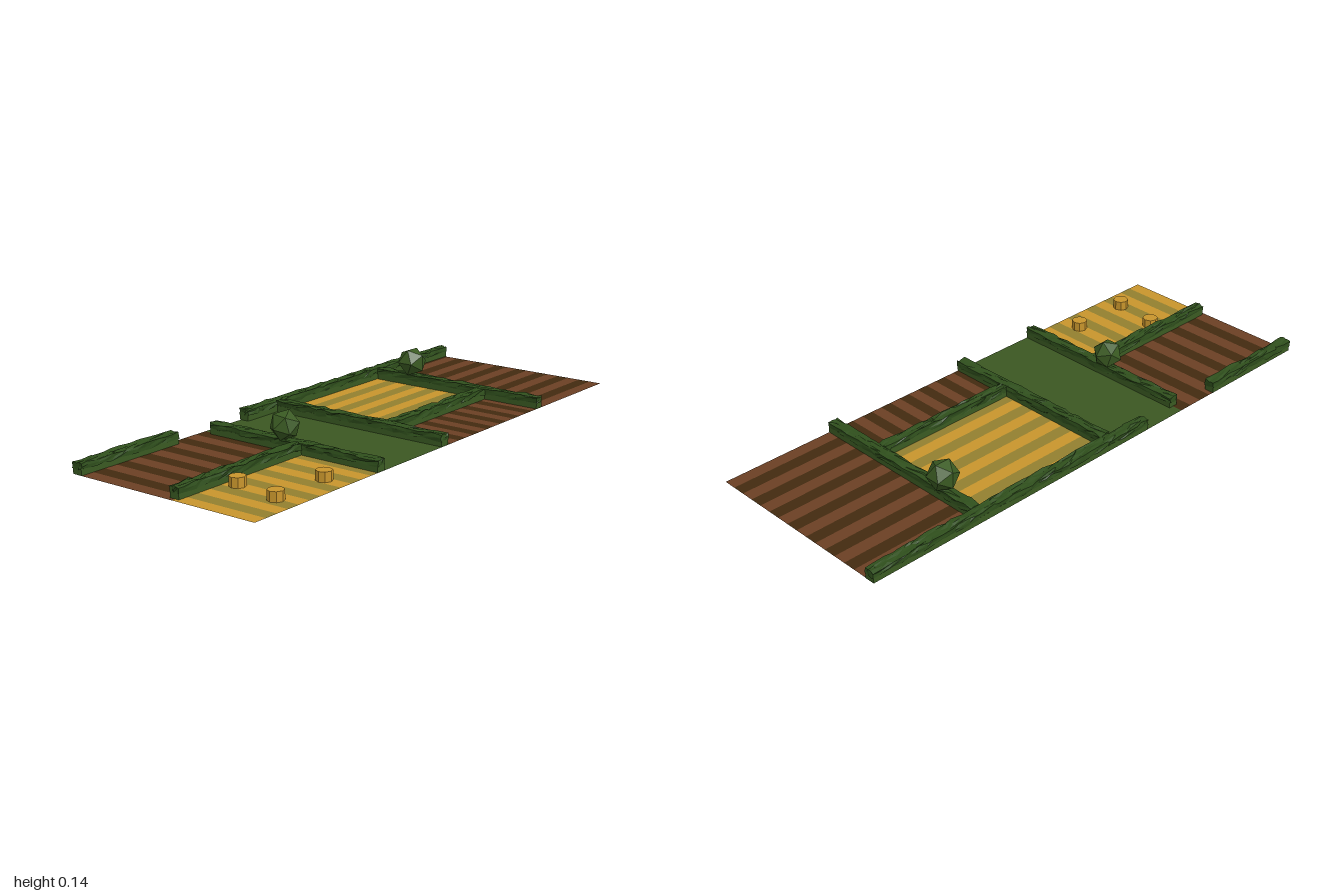
import * as THREE from 'three';
import { mergeVertices } from 'three/addons/utils/BufferGeometryUtils.js';

const mat = (name, color, extra = {}) => {
  const m = new THREE.MeshStandardMaterial({ color, ...extra });
  m.name = name;
  return m;
};

export function createModel() {
  const model = new THREE.Group();
  model.name = 'farmland';

  const flat = { side: THREE.DoubleSide };
  const grass = mat('grass green', 0x3b5722, flat);
  const gold = mat('wheat gold', 0xc8952c, flat);
  const olive = mat('wheat olive', 0x927f2f, flat);
  const brown = mat('soil brown', 0x6b4024, flat);
  const dark = mat('soil dark', 0x432a10, flat);
  const hedgeMat = mat('hedge green', 0x2f4f1c, { flatShading: true });
  const bushMat = mat('bush green', 0x3a5a22, { flatShading: true });
  const hay = mat('hay gold', 0xc8952c, { flatShading: true });

  let seed = 7;
  const rand = () => {
    seed = (seed * 16807) % 2147483647;
    return seed / 2147483647 - 0.5;
  };

  const add = (parent, name, geometry, material, x = 0, y = 0, z = 0) => {
    const mesh = new THREE.Mesh(geometry, material);
    mesh.name = name;
    mesh.position.set(x, y, z);
    parent.add(mesh);
    return mesh;
  };

  // Flat ground rectangle
  const patch = (parent, name, x0, x1, z0, z1, material) =>
    add(parent, name, new THREE.PlaneGeometry(x1 - x0, z1 - z0).rotateX(-Math.PI / 2),
      material, (x0 + x1) / 2, 0, (z0 + z1) / 2);

  // Field divided into furrows of two alternating colours
  const field = (name, x0, x1, z0, z1, count, acrossX, colours) => {
    const group = new THREE.Group();
    group.name = name;
    for (let i = 0; i < count; i++) {
      const a = i / count, b = (i + 1) / count;
      const lerp = THREE.MathUtils.lerp;
      if (acrossX) patch(group, 'furrow', lerp(x0, x1, a), lerp(x0, x1, b), z0, z1, colours[i % 2]);
      else patch(group, 'furrow', x0, x1, lerp(z0, z1, a), lerp(z0, z1, b), colours[i % 2]);
    }
    model.add(group);
  };

  patch(model, 'grassPath', -0.395, -0.045, -0.375, 0.37, grass);
  field('leftSoilField', -0.995, -0.395, -0.375, 0.045, 12, true, [brown, dark]);
  field('leftWheatField', -0.995, -0.395, 0.045, 0.37, 12, true, [gold, olive]);
  patch(model, 'wheatBackStrip', -0.045, 0.545, -0.375, -0.341, gold);
  field('centreWheatField', -0.045, 0.545, -0.341, 0.13, 10, false, [gold, olive]);
  field('centreSoilField', -0.045, 0.545, 0.13, 0.37, 14, true, [dark, brown]);
  field('rightSoilField', 0.545, 0.99, -0.375, 0.37, 16, false, [dark, brown]);

  // Hedge: plain lower body with a rough, jittered crown
  const hedge = (x0, x1, z0, z1) => {
    const group = new THREE.Group();
    group.name = 'hedge';
    group.position.set((x0 + x1) / 2, 0, (z0 + z1) / 2);
    if (z1 - z0 > x1 - x0) group.rotation.y = Math.PI / 2;
    const length = Math.max(x1 - x0, z1 - z0), width = Math.min(x1 - x0, z1 - z0);
    add(group, 'hedgeBody', new THREE.BoxGeometry(length - 0.006, 0.023, width - 0.007), bushMat, 0, 0.0125);

    let crown = new THREE.BoxGeometry(length - 0.004, 0.021, width - 0.004,
      Math.round(length / 0.035), 2, 4);
    crown.deleteAttribute('normal');
    crown.deleteAttribute('uv');
    crown = mergeVertices(crown);
    const p = crown.attributes.position;
    for (let i = 0; i < p.count; i++) {
      const inner = Math.abs(p.getX(i)) < length / 2 - 0.01;
      p.setXYZ(i,
        p.getX(i) + rand() * (inner ? 0.03 : 0.005),
        p.getY(i) + rand() * 0.007,
        p.getZ(i) + rand() * 0.006);
    }
    crown.computeVertexNormals();
    add(group, 'hedgeCrown', crown, hedgeMat, 0, 0.0305);
    model.add(group);
  };
  [
    [-1, -0.56, -0.38, -0.336],
    [-0.22, 0.995, -0.38, -0.336],
    [-0.416, -0.373, -0.34, 0.373],
    [-0.985, -0.41, 0.022, 0.065],
    [-0.066, -0.023, -0.34, 0.373],
    [-0.03, 0.53, 0.113, 0.154],
    [0.525, 0.568, -0.34, 0.373],
  ].forEach((h) => hedge(...h));

  // Round bushes growing out of the hedges
  const leftBush = add(model, 'bush', new THREE.IcosahedronGeometry(0.054, 0), bushMat, -0.395, 0.084, -0.022);
  leftBush.rotation.set(0.3, 0.5, 0.15);
  add(model, 'bush', new THREE.IcosahedronGeometry(0.056, 0), bushMat, 0.547, 0.088, -0.19);

  // Hay bales
  [[-0.775, 0.11], [-0.805, 0.288], [-0.57, 0.283]].forEach(([x, z]) =>
    add(model, 'hayBale', new THREE.CylinderGeometry(0.028, 0.028, 0.034, 8), hay, x, 0.018, z));

  return model;
}
